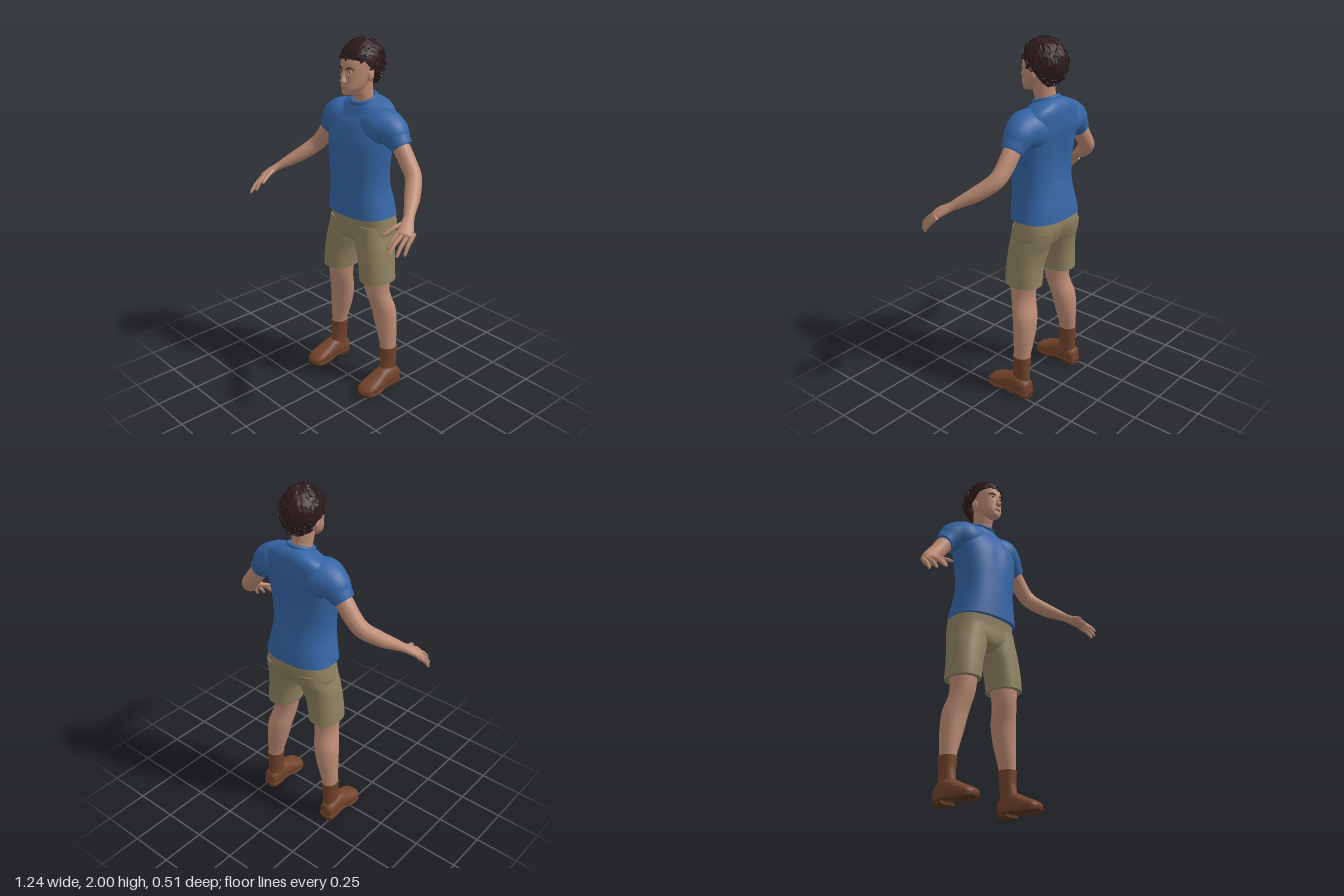
import * as THREE from 'three';
import { mergeGeometries } from 'three/addons/utils/BufferGeometryUtils.js';

const mat = (name, color) => {
  const m = new THREE.MeshStandardMaterial({ color });
  m.name = name;
  return m;
};
const V = (x, y, z) => new THREE.Vector3(x, y, z);
const X = V(1, 0, 0), Y = V(0, 1, 0), Z = V(0, 0, 1);

// Smooth capped tube through sections [x, y, z, halfWidth, halfDepth].
// ref gives the width direction; axis fixes the ring direction; n is squareness.
function loft(sections, { ref = X, axis, n = 2, seg = 28, sub = 5, warp } = {}) {
  const path = new THREE.CatmullRomCurve3(sections.map(s => V(s[0], s[1], s[2])), false, 'catmullrom');
  const size = new THREE.CatmullRomCurve3(sections.map(s => V(s[3], s[4], 0)), false, 'catmullrom');
  const steps = (sections.length - 1) * sub, pos = [], idx = [];
  const bend = c => Math.sign(c) * Math.abs(c) ** (2 / n);
  for (let i = 0; i <= steps; i++) {
    const c = path.getPoint(i / steps), r = size.getPoint(i / steps);
    const t = axis || path.getTangent(i / steps);
    const u = ref.clone().addScaledVector(t, -ref.dot(t)).normalize();
    const v = t.clone().cross(u);
    for (let j = 0; j < seg; j++) {
      const a = j / seg * Math.PI * 2;
      const p = c.clone().addScaledVector(u, r.x * bend(Math.cos(a))).addScaledVector(v, r.y * bend(Math.sin(a)));
      if (warp) warp(p);
      pos.push(p.x, p.y, p.z);
      if (i < steps) {
        const k = (j + 1) % seg, A = i * seg + j, B = i * seg + k;
        idx.push(A, B, B + seg, A, B + seg, A + seg);
      }
    }
  }
  // flat end caps on their own vertices
  for (const end of [0, steps]) {
    const base = pos.length / 3, c = V(0, 0, 0);
    for (let j = 0; j < seg; j++) {
      const o = (end * seg + j) * 3;
      pos.push(pos[o], pos[o + 1], pos[o + 2]);
      c.add(V(pos[o], pos[o + 1], pos[o + 2]));
    }
    c.divideScalar(seg);
    pos.push(c.x, c.y, c.z);
    for (let j = 0; j < seg; j++) {
      const k = (j + 1) % seg;
      idx.push(base + seg, base + (end ? j : k), base + (end ? k : j));
    }
  }
  const g = new THREE.BufferGeometry();
  g.setAttribute('position', new THREE.Float32BufferAttribute(pos, 3));
  g.setIndex(idx);
  g.computeVertexNormals();
  return g;
}

// Body sections [y, halfWidth, zFront, zBack]
const body = rows => rows.map(([y, w, f, b]) => [0, y, (f + b) / 2, w, (f - b) / 2]);
const bump = (d, w) => Math.exp(-((d / w) ** 2));

// Cropped hair: jittered cap with an uneven hairline, plus short tufts
function hairGeometry() {
  let seed = 7;
  const rnd = () => (seed = (seed * 16807) % 2147483647) / 2147483647;
  const line = [[0, 1.905], [0.25, 1.893], [0.4, 1.85], [0.55, 1.838], [0.7, 1.775], [1, 1.755]];
  const limit = a => {
    const f = (1 - Math.cos(a)) / 2;
    const i = Math.max(1, line.findIndex(l => l[0] >= f - 1e-9));
    const [p, q] = [line[i - 1], line[i]];
    const y = p[1] + (q[1] - p[1]) * (f - p[0]) / (q[0] - p[0]);
    return Math.acos((y - 1.87) / 0.127);
  };
  const at = (a, ph, k = 1) => V(0.105 * k * Math.sin(ph) * Math.sin(a),
    1.87 + 0.127 * k * Math.cos(ph), -0.102 + 0.127 * k * Math.sin(ph) * Math.cos(a));
  const seg = 44, rows = 16, pos = [], idx = [];
  for (let i = 0; i <= rows + 1; i++) for (let j = 0; j < seg; j++) {
    const a = j / seg * Math.PI * 2, inner = i > rows;
    const p = at(a, limit(a) * Math.min(i, rows) / rows, inner ? 0.76 : 0.985 + (i ? rnd() * 0.04 : 0.02));
    pos.push(p.x, p.y, p.z);
    if (i <= rows) {
      const k = (j + 1) % seg, A = i * seg + j, B = i * seg + k;
      idx.push(A, B + seg, B, A, A + seg, B + seg);
    }
  }
  const cap = new THREE.BufferGeometry();
  cap.setAttribute('position', new THREE.Float32BufferAttribute(pos, 3));
  cap.setIndex(idx);
  const parts = [cap.toNonIndexed()];
  const o = new THREE.Object3D(), mid = V(0, 1.87, -0.102);
  for (let i = 0; i < 230; i++) {
    const a = rnd() * Math.PI * 2, ph = limit(a) * Math.sqrt(rnd());
    o.position.copy(at(a, ph));
    o.lookAt(o.position.clone().multiplyScalar(2).sub(mid));
    o.rotateZ((rnd() - 0.5) * 1.6);
    o.rotateX((rnd() - 0.5) * 0.4);
    o.updateMatrix();
    const b = new THREE.BoxGeometry(0.009, 0.03, 0.009).applyMatrix4(o.matrix).toNonIndexed();
    b.deleteAttribute('uv');
    b.deleteAttribute('normal');
    parts.push(b);
  }
  const g = mergeGeometries(parts);
  g.computeVertexNormals();
  return g;
}

export function createModel() {
  const model = new THREE.Group();
  const skin = mat('skin', 0xbc8b74), shirt = mat('shirt blue', 0x3565a5), khaki = mat('khaki', 0x8f8260);
  const boot = mat('boot brown', 0x73442b), sole = mat('sole brown', 0x5c3521), hair = mat('hair', 0x2e1c1b);
  const white = mat('eye white', 0xc9bdb4), iris = mat('iris', 0x2a1a14), lip = mat('lips', 0x9c6655);
  hair.side = THREE.DoubleSide;
  const add = (name, geo, m) => {
    const mesh = new THREE.Mesh(geo, m);
    mesh.name = name;
    model.add(mesh);
    return mesh;
  };
  const ball = (name, m, p, r) => {
    const e = add(name, new THREE.SphereGeometry(1, 20, 14), m);
    e.position.set(...p);
    e.scale.set(...r);
    return e;
  };

  // Shirt body with spine groove, chest and a neckline that dips at the front
  add('shirtBody', loft(body([[1.05, 0.205, 0.04, -0.255], [1.12, 0.19, 0.043, -0.245], [1.2, 0.175, 0.045, -0.228],
    [1.28, 0.175, 0.045, -0.215], [1.38, 0.187, 0.045, -0.215], [1.47, 0.197, 0.037, -0.225],
    [1.54, 0.2, 0.012, -0.235], [1.6, 0.19, -0.018, -0.235], [1.635, 0.168, -0.035, -0.228],
    [1.658, 0.13, -0.045, -0.212], [1.675, 0.09, -0.052, -0.19], [1.685, 0.066, -0.058, -0.172]]), {
    axis: Y, n: 2.5, seg: 56, warp: p => {
      const top = THREE.MathUtils.clamp((p.y - 1.57) / 0.11, 0, 1);
      if (p.z < -0.14) p.z += 0.018 * bump(p.x, 0.035) * bump(p.y - 1.4, 0.2);
      else if (p.z > -0.03) p.z -= 0.008 * bump(p.x, 0.03) * bump(p.y - 1.45, 0.08);
      p.y += top * 0.3 * (-0.115 - p.z);
    }
  }), shirt);
  const collar = add('collar', new THREE.TorusGeometry(0.066, 0.011, 12, 40), shirt);
  collar.position.set(0, 1.683, -0.113);
  collar.rotation.x = Math.PI / 2 + 0.3;

  // Seat of the shorts
  add('shortsSeat', loft(body([[0.875, 0.09, -0.04, -0.16], [0.9, 0.17, -0.005, -0.205], [0.94, 0.206, 0.01, -0.232],
    [1.0, 0.204, 0.012, -0.25], [1.07, 0.195, 0.02, -0.245]]), {
    axis: Y, n: 2.5, seg: 48, warp: p => { if (p.z < -0.14) p.z += 0.02 * bump(p.x, 0.025) * bump(p.y - 0.94, 0.09); }
  }), khaki);

  for (const s of [1, -1]) {
    const side = s > 0 ? 'left' : 'right';
    const mir = rows => rows.map(([x, ...r]) => [x * s, ...r]);

    add(side + 'Sleeve', loft(mir([[0.06, 1.55, -0.11, 0.09, 0.1], [0.15, 1.55, -0.112, 0.106, 0.112],
      [0.215, 1.535, -0.117, 0.09, 0.088], [0.255, 1.5, -0.118, 0.068, 0.068], [0.282, 1.469, -0.118, 0.057, 0.058]]),
      { ref: Y, seg: 36, sub: 6 }), shirt);

    // Arm running on into the palm
    const wide = V(0.73 * s, -0.2, -0.66);
    add(side + 'Arm', loft(mir([[0.2, 1.54, -0.115, 0.05, 0.05], [0.28, 1.465, -0.118, 0.047, 0.048],
      [0.335, 1.395, -0.116, 0.045, 0.046], [0.388, 1.335, -0.1, 0.044, 0.044], [0.45, 1.272, -0.03, 0.042, 0.039],
      [0.495, 1.232, 0.03, 0.033, 0.03], [0.525, 1.205, 0.07, 0.028, 0.022], [0.55, 1.18, 0.108, 0.036, 0.021],
      [0.574, 1.154, 0.144, 0.042, 0.017], [0.58, 1.146, 0.154, 0.032, 0.01]]), { ref: wide }), skin);

    // Fingers: root and tip
    const fingers = [['index', [0.546, 1.163, 0.158], [0.537, 1.088, 0.228]], ['middle', [0.565, 1.157, 0.15], [0.566, 1.07, 0.252]],
      ['ring', [0.584, 1.15, 0.135], [0.595, 1.06, 0.224]], ['little', [0.601, 1.148, 0.115], [0.614, 1.062, 0.188]],
      ['thumb', [0.532, 1.195, 0.088], [0.49, 1.14, 0.215]]];
    for (const [name, a, b] of fingers) {
      const at = (t, up, r) => [...a.map((v, i) => v + (b[i] - v) * t + (i ? up : 0)), r, r];
      add(side + name + 'Finger', loft(mir([at(-0.1, 0, 0.012), at(0.25, 0.003, 0.012), at(0.55, 0.005, 0.0105),
        at(0.85, 0.002, 0.0085), at(0.97, 0, 0.006), at(1, 0, 0.001)]), { ref: wide, seg: 12, sub: 3 }), skin);
    }

    add(side + 'ShortsLeg', loft(mir([[0.151, 0.675, -0.085, 0.088, 0.105], [0.146, 0.73, -0.085, 0.09, 0.105],
      [0.136, 0.8, -0.088, 0.094, 0.105], [0.117, 0.88, -0.097, 0.104, 0.11], [0.107, 0.94, -0.11, 0.1, 0.12],
      [0.1, 1.0, -0.118, 0.095, 0.125]]), { axis: Y, n: 2.3, seg: 36 }), khaki);

    // Bare leg with knee and calf
    add(side + 'Leg', loft(mir([[0.213, 0.2, -0.122, 0.04, 0.048], [0.21, 0.26, -0.122, 0.043, 0.05],
      [0.199, 0.33, -0.122, 0.054, 0.057], [0.188, 0.4, -0.121, 0.065, 0.063], [0.175, 0.49, -0.113, 0.073, 0.067],
      [0.16, 0.56, -0.094, 0.07, 0.067], [0.151, 0.62, -0.083, 0.07, 0.07], [0.147, 0.72, -0.085, 0.078, 0.082]]),
      { axis: Y }), skin);

    // Boot: shaft, foot, sole and heel
    add(side + 'BootShaft', loft(mir([[0.216, 0.07, -0.112, 0.042, 0.06], [0.215, 0.12, -0.117, 0.039, 0.055],
      [0.213, 0.18, -0.122, 0.043, 0.051], [0.212, 0.25, -0.122, 0.048, 0.054]]), { axis: Y }), boot);
    add(side + 'BootFoot', loft(mir([[0.222, 0.05, -0.184, 0.02, 0.025], [0.222, 0.056, -0.172, 0.04, 0.045],
      [0.222, 0.068, -0.12, 0.048, 0.057], [0.222, 0.067, -0.06, 0.05, 0.055], [0.223, 0.052, 0, 0.057, 0.042],
      [0.223, 0.042, 0.05, 0.058, 0.032], [0.222, 0.034, 0.085, 0.045, 0.022], [0.221, 0.03, 0.102, 0.018, 0.009]]),
      { axis: Z, n: 2.4 }), boot);
    add(side + 'Sole', loft(mir([[0.222, 0.022, -0.19, 0.022, 0.008], [0.222, 0.022, -0.17, 0.045, 0.008],
      [0.222, 0.024, -0.1, 0.049, 0.008], [0.222, 0.022, -0.05, 0.051, 0.009], [0.223, 0.014, 0, 0.06, 0.01],
      [0.223, 0.013, 0.05, 0.061, 0.01], [0.222, 0.016, 0.085, 0.048, 0.01], [0.221, 0.021, 0.105, 0.02, 0.008]]),
      { axis: Z, n: 5 }), sole);
    add(side + 'Heel', loft(mir([[0.222, 0.011, -0.188, 0.022, 0.011], [0.222, 0.011, -0.168, 0.044, 0.011],
      [0.222, 0.011, -0.1, 0.046, 0.011]]), { axis: Z, n: 5 }), sole);

    // Ear, eye and brow
    ball(side + 'Ear', skin, [0.079 * s, 1.813, -0.085], [0.011, 0.028, 0.018]).rotation.y = -0.3 * s;
    ball(side + 'Eye', white, [0.032 * s, 1.84, 0.013], [0.014, 0.006, 0.007]);
    ball(side + 'Iris', iris, [0.031 * s, 1.84, 0.0165], [0.006, 0.0055, 0.005]);
    add(side + 'Brow', loft(mir([[0.013, 1.853, 0.028, 0.002, 0.002], [0.022, 1.857, 0.0265, 0.004, 0.004],
      [0.037, 1.861, 0.0205, 0.0035, 0.004], [0.056, 1.855, 0.002, 0.001, 0.002]]), { ref: Y, seg: 10 }), hair);
  }

  // Neck and head with eye sockets
  add('neck', loft([[0, 1.62, -0.118, 0.065, 0.06], [0, 1.68, -0.11, 0.056, 0.056], [0, 1.72, -0.1, 0.055, 0.06],
    [0, 1.79, -0.092, 0.058, 0.066]], { axis: Y }), skin);
  add('head', loft(body([[1.714, 0.012, 0.022, -0.01], [1.722, 0.03, 0.029, -0.04], [1.75, 0.054, 0.03, -0.09],
    [1.78, 0.066, 0.028, -0.13], [1.82, 0.074, 0.028, -0.17], [1.86, 0.078, 0.029, -0.19], [1.9, 0.079, 0.021, -0.2],
    [1.95, 0.068, -0.005, -0.18], [1.98, 0.03, -0.06, -0.13]]), {
    axis: Y, n: 2.2, seg: 64, sub: 8, warp: p => {
      if (p.z > -0.04) p.z -= 0.007 * bump(Math.abs(p.x) - 0.031, 0.018) * bump(p.y - 1.84, 0.012);
    }
  }), skin);
  add('nose', loft([[0, 1.779, 0.026, 0.011, 0.006], [0, 1.785, 0.03, 0.017, 0.017], [0, 1.793, 0.031, 0.016, 0.021],
    [0, 1.815, 0.028, 0.009, 0.015], [0, 1.84, 0.024, 0.008, 0.008], [0, 1.855, 0.024, 0.008, 0.004]],
    { axis: Y, seg: 20 }), skin);
  for (const [name, y, r] of [['upperLip', 1.7595, 0.004], ['lowerLip', 1.753, 0.005]])
    add(name, loft([[-0.024, 1.757, 0.024, 0.001, 0.001], [-0.012, y, 0.029, r * 0.85, 0.004], [0, y, 0.031, r, 0.005],
      [0.012, y, 0.029, r * 0.85, 0.004], [0.024, 1.757, 0.024, 0.001, 0.001]], { ref: Y, seg: 12 }), lip);
  add('hair', hairGeometry(), hair);
  return model;
}
